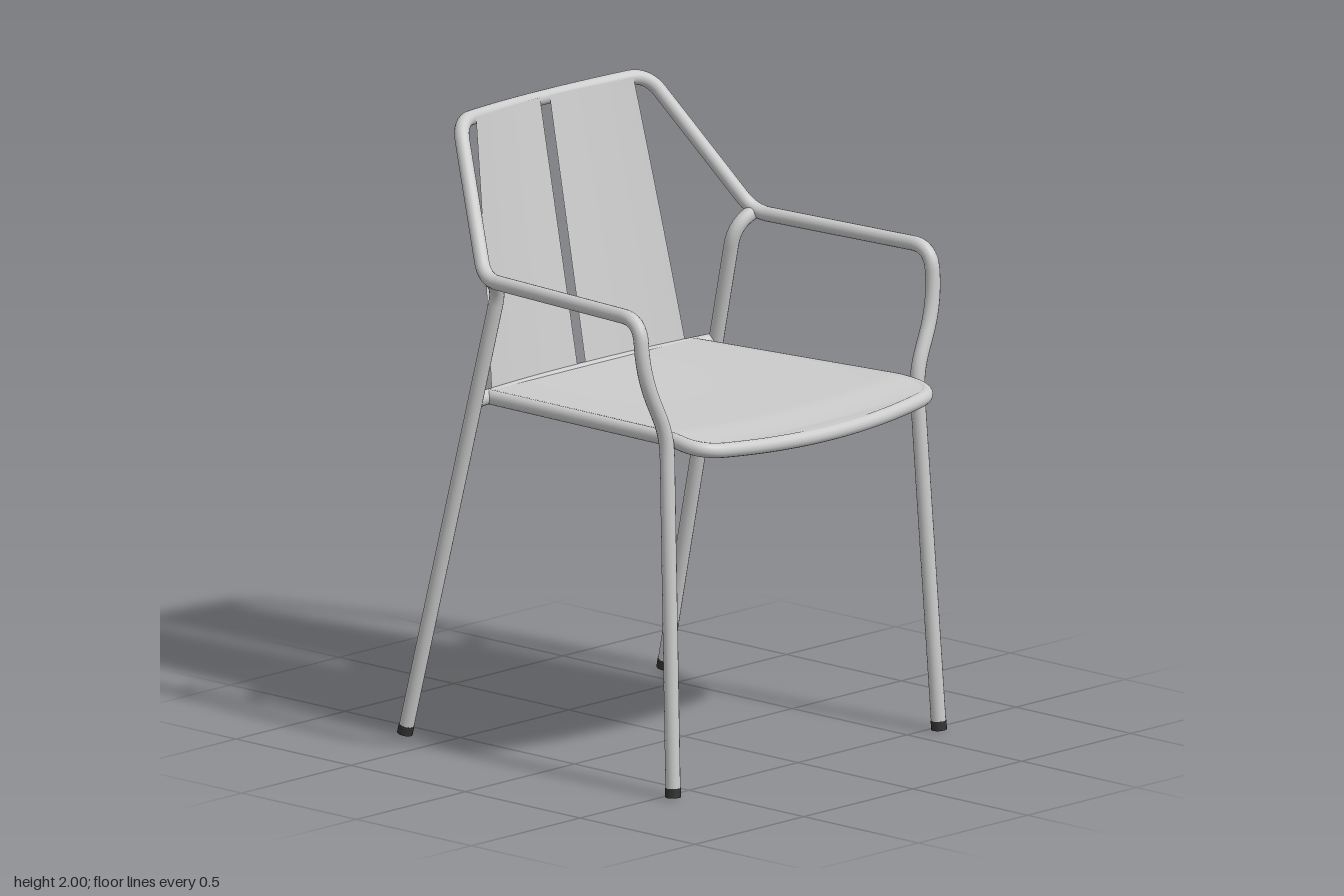
import * as THREE from 'three';
import { ParametricGeometry } from 'three/addons/geometries/ParametricGeometry.js';

const R = 0.024; // tube radius
const grey = new THREE.MeshStandardMaterial({ color: 0xcccccc });
const sheetMat = new THREE.MeshStandardMaterial({ color: 0xcccccc, side: THREE.DoubleSide });
const footMat = new THREE.MeshStandardMaterial({ color: 0x333333 });

// Polyline with rounded corners; each point is [x, y, z, bendLength]
function bentPath(points) {
  const path = new THREE.CurvePath();
  const p = points.map(([x, y, z]) => new THREE.Vector3(x, y, z));
  let from = p[0];
  for (let i = 1; i < p.length - 1; i++) {
    const r = points[i][3];
    const toward = (q) => p[i].clone().add(q.clone().sub(p[i]).setLength(r));
    const a = toward(p[i - 1]), b = toward(p[i + 1]);
    path.add(new THREE.LineCurve3(from, a));
    path.add(new THREE.QuadraticBezierCurve3(a, p[i], b));
    from = b;
  }
  path.add(new THREE.LineCurve3(from, p[p.length - 1]));
  return path;
}

// Complete a half path (last point on x = 0) with its mirror image
const mirrored = (half) => [
  ...half,
  ...half.slice(0, -1).reverse().map(([x, y, z, r]) => [-x, y, z, r]),
];

export function createModel() {
  const group = new THREE.Group();
  const add = (name, geometry, material = grey) => {
    const mesh = new THREE.Mesh(geometry, material);
    mesh.name = name;
    group.add(mesh);
    return mesh;
  };
  const tube = (name, path, segments) =>
    add(name, new THREE.TubeGeometry(path, segments, R, 16, false));
  const sheet = (name, fn, u, v) =>
    add(name, new ParametricGeometry(fn, u, v), sheetMat);

  // Dark foot plug on the end of a leg that runs from a to b
  const foot = (name, a, b) => {
    const dir = new THREE.Vector3(...b).sub(new THREE.Vector3(...a)).normalize();
    const mesh = add(name, new THREE.CylinderGeometry(R + 0.001, R + 0.001, 0.03, 16), footMat);
    mesh.position.set(...a).addScaledVector(dir, 0.012);
    mesh.quaternion.setFromUnitVectors(new THREE.Vector3(0, 1, 0), dir);
  };

  // One continuous tube: front legs, armrests and top rail
  tube('mainFrame', bentPath(mirrored([
    [0.61, 0.006, 0.535],
    [0.572, 1.16, 0.472, 0.07],
    [0.668, 1.37, 0.46, 0.1],
    [0.668, 1.55, 0.445, 0.075],
    [0.617, 1.55, -0.28, 0.06],
    [0.43, 1.982, -0.568, 0.07],
    [0, 1.96, -0.67, 0.36],
  ])), 420);

  // Back legs, bent outward at the top to meet the armrests
  for (const s of [1, -1]) {
    const side = s > 0 ? 'left' : 'right';
    tube(side + 'BackLeg', bentPath([
      [s * 0.595, 0.006, -0.648],
      [s * 0.538, 1.52, -0.288, 0.07],
      [s * 0.617, 1.555, -0.272],
    ]), 90);
    foot(side + 'FrontFoot', [s * 0.61, 0.006, 0.535], [s * 0.572, 1.16, 0.472]);
    foot(side + 'BackFoot', [s * 0.595, 0.008, -0.648], [s * 0.538, 1.52, -0.288]);
  }

  // Seat frame: sides and bowed front
  const seatPath = bentPath(mirrored([
    [0.465, 1.12, -0.41],
    [0.525, 1.138, 0.45, 0.035],
    [0.54, 1.122, 0.588, 0.1],
    [0, 1.083, 0.677, 0.43],
  ]));
  tube('seatFrame', seatPath, 260);

  // Bowed rear bar between the back legs
  tube('rearSeatBar', new THREE.QuadraticBezierCurve3(
    new THREE.Vector3(0.55, 1.122, -0.392),
    new THREE.Vector3(0, 1.108, -0.5),
    new THREE.Vector3(-0.55, 1.122, -0.392)), 48);

  // Seat sheet spans the seat frame, sagging slightly
  sheet('seatPanel', (u, v, target) => {
    const p = seatPath.getPointAt(0.495 * u);
    const s = 2 * v - 1;
    const sag = (0.05 + 0.06 * Math.sin(Math.PI * u)) * p.x * p.x * (1 - s * s);
    target.set(p.x * s, p.y + 0.022 - sag, p.z - 0.04 * (1 - s * s) * (1 - u));
  }, 90, 24);

  // Two curved back sheets with a narrow slot between them
  for (const s of [1, -1]) {
    sheet(s > 0 ? 'leftBackPanel' : 'rightBackPanel', (u, v, target) => {
      const inner = 0.018 + 0.004 * v;
      const x = inner + (0.445 - 0.083 * v - inner) * u;
      const bottom = -0.442 + 0.03 * (x / 0.445) ** 2;
      const top = -0.604 + 0.044 * (x / 0.36) ** 2;
      target.set(s * x, 1.125 + 0.855 * v, bottom + (top - bottom) * v);
    }, 16, 16);
  }

  return group;
}
